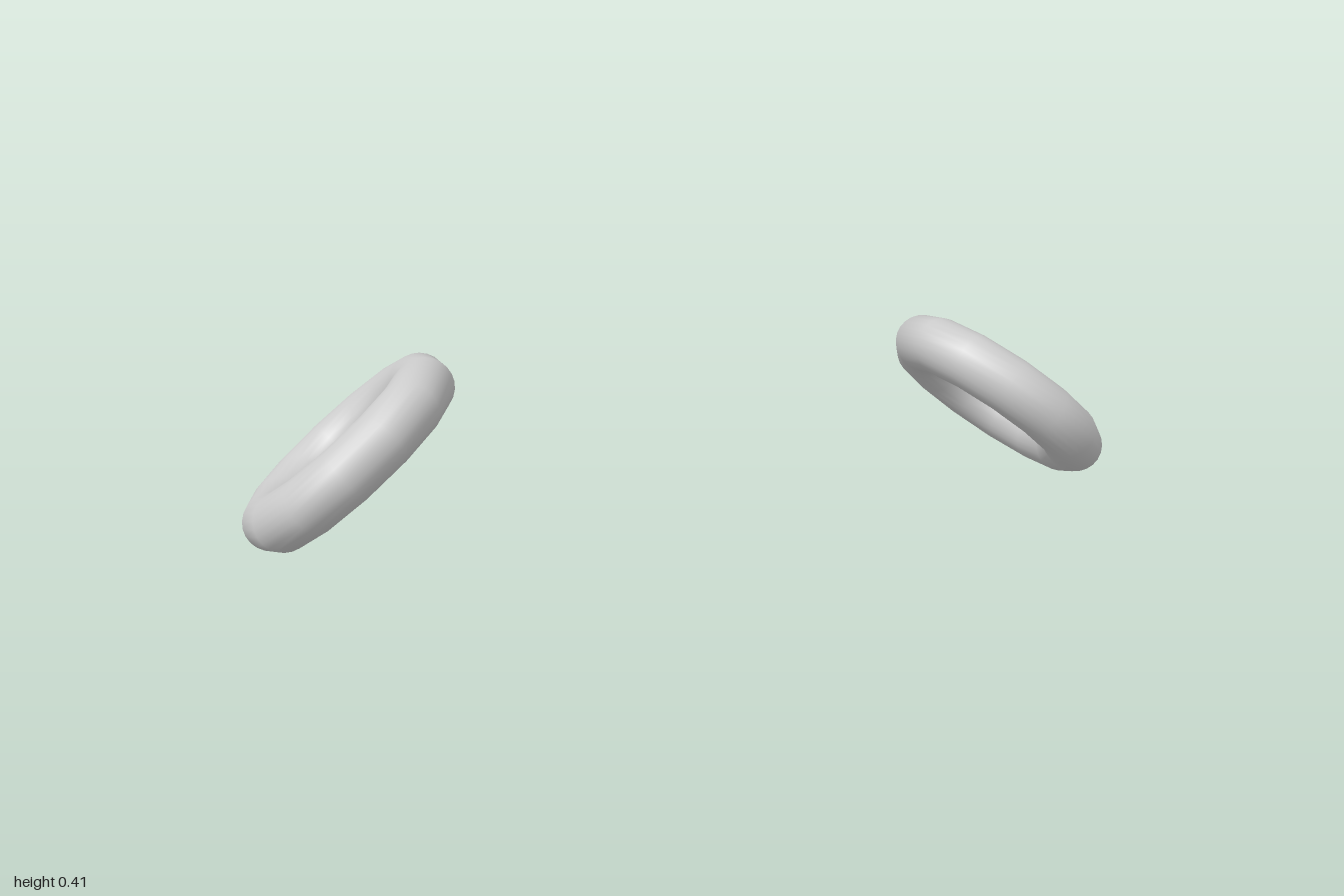
import * as THREE from 'three';

const RING_RADIUS = 0.207;
const TUBE_RADIUS = 0.066;
const STRETCH = 1.05; // rings are slightly longer down their slope

export function createModel() {
  const group = new THREE.Group();
  const material = new THREE.MeshStandardMaterial({ color: 0xcccccc });

  // Coarse 13-sided ring with a smooth round tube
  const ringGeometry = new THREE.TorusGeometry(RING_RADIUS, TUBE_RADIUS, 24, 13);

  // Mirrored pair, each sloping down outwards and leaning slightly back
  for (const side of [1, -1]) {
    const axis = new THREE.Vector3(0.63 * side, 0.77, -0.15).normalize();
    const forward = new THREE.Vector3(0, 0, 1).projectOnPlane(axis).normalize();
    const slope = new THREE.Vector3().crossVectors(axis, forward);

    const ring = new THREE.Mesh(ringGeometry, material);
    ring.name = side > 0 ? 'leftRing' : 'rightRing';
    ring.quaternion.setFromRotationMatrix(new THREE.Matrix4().makeBasis(forward, slope, axis));
    ring.scale.y = STRETCH;
    ring.position.set(0.765 * side, 0.204, -0.004);
    group.add(ring);
  }
  return group;
}
